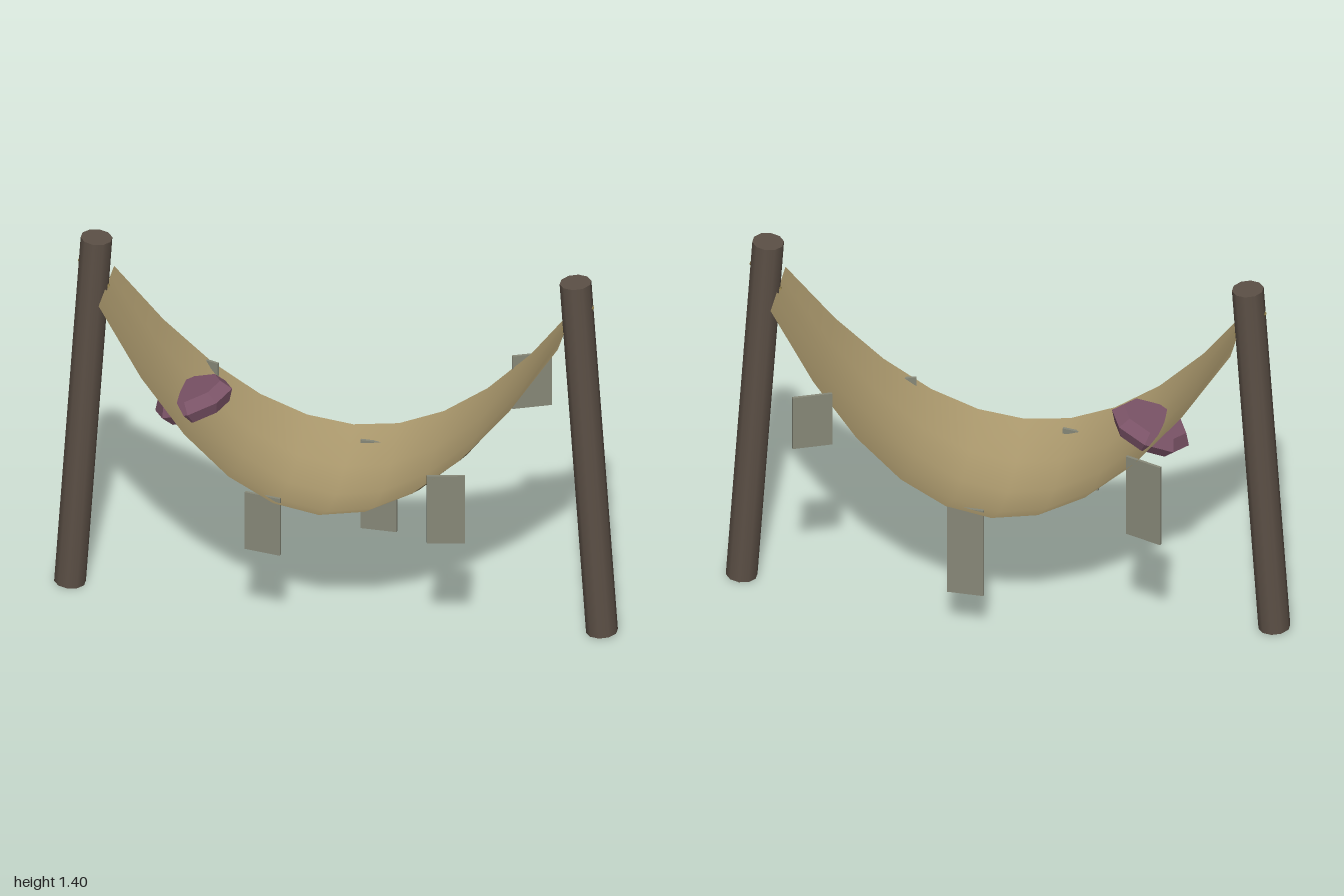
import * as THREE from 'three';

const mat = (name, color, extra = {}) =>
  Object.assign(new THREE.MeshStandardMaterial({ color, ...extra }), { name });

export function createModel() {
  const model = new THREE.Group();
  model.name = 'hammock';
  const wood = mat('dark wood', 0x5c5046);
  const cloth = mat('tan cloth', 0xa8966b, { side: THREE.DoubleSide });
  const rope = mat('rope', 0x94824f);
  const rag = mat('grey rag', 0x878878);
  const plum = mat('plum cushion', 0x7c5468, { flatShading: true });

  const add = (name, geometry, material) => {
    const mesh = new THREE.Mesh(geometry, material);
    mesh.name = name;
    model.add(mesh);
    return mesh;
  };
  // Cylinder between two points
  const rod = (name, a, b, radius, sides, material) => {
    const dir = b.clone().sub(a);
    const mesh = add(name, new THREE.CylinderGeometry(radius, radius, dir.length(), sides), material);
    mesh.position.copy(a).add(b).multiplyScalar(0.5);
    mesh.quaternion.setFromUnitVectors(new THREE.Vector3(0, 1, 0), dir.normalize());
  };

  // Leaning posts and the rope ends tied through them
  for (const s of [1, -1]) {
    const side = s > 0 ? 'left' : 'right';
    rod(side + 'Post', new THREE.Vector3(0.944 * s, 0.004, 0),
      new THREE.Vector3(0.85 * s, 1.392, 0), 0.056, 10, wood);
    rod(side + 'Rope', new THREE.Vector3(0.81 * s, 1.195, 0),
      new THREE.Vector3(0.908 * s, 1.302, 0), 0.012, 6, rope);
  }

  // Sling: a sheet that widens and sags towards its middle
  const sheet = new THREE.PlaneGeometry(2, 2, 10, 4).rotateX(-Math.PI / 2);
  const p = sheet.attributes.position;
  for (let i = 0; i < p.count; i++) {
    const u = p.getX(i), v = p.getZ(i), t = u * u;
    p.setXYZ(i, 0.815 * u,
      0.55 + 0.65 * t - 0.1 * (1 - t) * (1 - Math.abs(v) ** 2.2),
      v * (0.325 - 0.18 * t));
  }
  sheet.computeVertexNormals();
  add('sling', sheet, cloth);

  // Hanging rags: x, z, bottom, top, slope of z over x
  const rags = [
    [-0.527, -0.254, 0.48, 0.80, 0.4],
    [-0.212, 0.253, 0.34, 0.567, 0.2],
    [0.104, -0.252, 0.18, 0.533, 0.04],
    [0.438, 0.254, 0.445, 0.715, -0.2],
    [0.647, -0.256, 0.73, 0.94, -0.42],
  ];
  rags.forEach(([x, z, y0, y1, slope], i) => {
    const angle = Math.atan(slope);
    const width = 0.13 / Math.cos(angle);
    const mesh = add('rag' + (i + 1), new THREE.BoxGeometry(width, y1 - y0, 0.01), rag);
    mesh.position.set(x, (y0 + y1) / 2, z);
    mesh.rotation.y = -angle;
  });

  // Flat eight-sided cushion with bevelled rim
  const profile = [[0, -0.042], [0.12, -0.042], [0.148, 0], [0.12, 0.042], [0, 0.042]];
  const cushion = add('cushion',
    new THREE.LatheGeometry(profile.map(([r, y]) => new THREE.Vector2(r, y)), 8), plum);
  cushion.scale.z = 0.78;
  cushion.rotation.z = 0.4;
  cushion.position.set(-0.505, 0.778, 0);

  return model;
}
